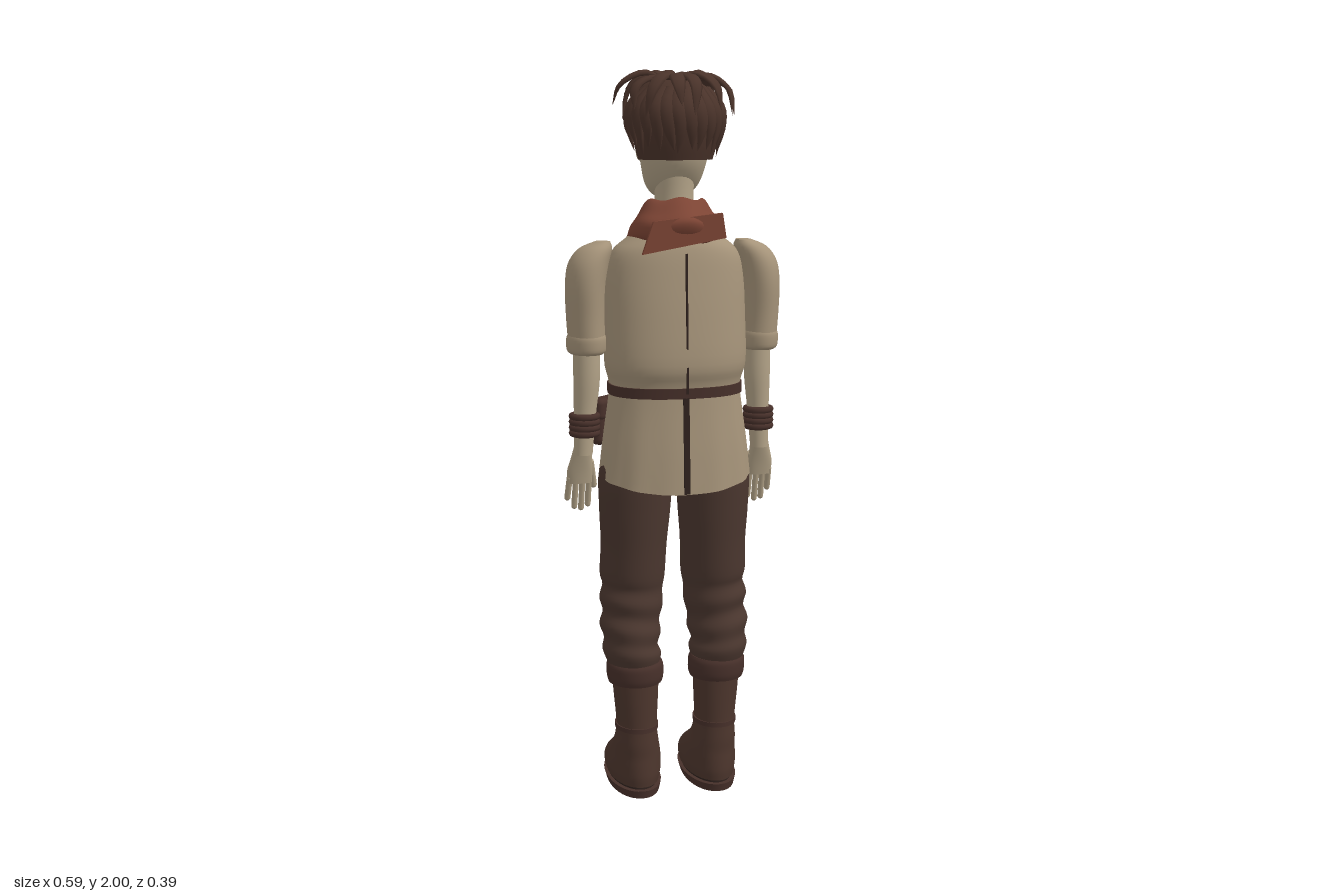
import * as THREE from 'three';
import { RoundedBoxGeometry } from 'three/addons/geometries/RoundedBoxGeometry.js';

const V = (x, y, z) => new THREE.Vector3(x, y, z);
const mat = (name, color, side = THREE.FrontSide) => {
  const m = new THREE.MeshStandardMaterial({ color, side });
  m.name = name;
  return m;
};

// Skin closed rings of points into one smooth surface with flat end caps
function skin(rings, caps = true) {
  const n = rings[0].length, pos = [], idx = [];
  const add = (ring) => ring.forEach((p) => pos.push(p.x, p.y, p.z));
  const link = (r) => {
    for (let i = 0; i < n; i++) {
      const a = r * n + i, b = r * n + (i + 1) % n;
      idx.push(a, a + n, b, b, a + n, b + n);
    }
  };
  rings.forEach(add);
  for (let r = 0; r < rings.length - 1; r++) link(r);
  if (caps) {
    const centre = (ring) => {
      const c = ring.reduce((s, p) => s.add(p), V(0, 0, 0)).divideScalar(n);
      return ring.map(() => c);
    };
    const first = rings[0], last = rings[rings.length - 1];
    [[centre(first), first], [last, centre(last)]].forEach(([a, b]) => {
      const r = pos.length / 3 / n;
      add(a); add(b); link(r);
    });
  }
  const g = new THREE.BufferGeometry();
  g.setAttribute('position', new THREE.Float32BufferAttribute(pos, 3));
  g.setIndex(idx);
  g.computeVertexNormals();
  return g;
}

// Smooth loft through horizontal sections [y, centre x, centre z, radius x, radius z]
function loft(secs, { n = 2, sides = 32, steps = 4, caps = true, warp = null } = {}) {
  const rings = [], at = (i) => secs[Math.min(Math.max(i, 0), secs.length - 1)];
  const total = (secs.length - 1) * steps;
  for (let k = 0; k <= total; k++) {
    const i = Math.min(Math.floor(k / steps), secs.length - 2), t = k / steps - i;
    const s = at(i).map((p1, j) => {
      const p0 = at(i - 1)[j], p2 = at(i + 1)[j], p3 = at(i + 2)[j];
      const m1 = (p2 - p0) / 2, m2 = (p3 - p1) / 2;
      return p1 + m1 * t + (3 * (p2 - p1) - 2 * m1 - m2) * t * t + (2 * (p1 - p2) + m1 + m2) * t * t * t;
    });
    rings.push(Array.from({ length: sides }, (_, j) => {
      const a = j / sides * Math.PI * 2, c = Math.cos(a), q = Math.sin(a);
      const p = V(s[1] + s[3] * Math.sign(c) * Math.abs(c) ** (2 / n), s[0],
        s[2] + s[4] * Math.sign(q) * Math.abs(q) ** (2 / n));
      if (warp) warp(p, a, k / total);
      return p;
    }));
  }
  return skin(rings, caps);
}

// Flat tapered strand along a curve; out is the direction its broad face looks
function strand(points, out, width, thick) {
  const curve = new THREE.CatmullRomCurve3(points), rings = [];
  for (let k = 0; k <= 10; k++) {
    const t = k / 10, tan = curve.getTangent(t), p = curve.getPoint(t);
    const side = tan.clone().cross(out).normalize(), up = side.clone().cross(tan);
    const w = Math.max(0.03, Math.sin(Math.PI * (0.2 + 0.8 * t)) ** 0.8);
    rings.push(Array.from({ length: 8 }, (_, j) => {
      const a = j / 8 * Math.PI * 2;
      return p.clone().addScaledVector(side, Math.cos(a) * width * w).addScaledVector(up, Math.sin(a) * thick * w);
    }));
  }
  return skin(rings);
}

export function createModel() {
  const model = new THREE.Group();
  const shirt = mat('shirt linen', 0xa6947a, THREE.DoubleSide), skinTone = mat('skin', 0xb3a388);
  const trousers = mat('trouser brown', 0x4b372f), boots = mat('boot leather', 0x4d362d);
  const hair = mat('hair brown', 0x4a332a), scarf = mat('scarf red', 0x7c4434, THREE.DoubleSide);
  const leather = mat('belt leather', 0x47302a), dark = mat('dark trim', 0x2e211d);
  const metal = mat('buckle metal', 0x8a7a62);
  const add = (name, geo, m, x = 0, y = 0, z = 0) => {
    const mesh = new THREE.Mesh(geo, m);
    mesh.name = name;
    mesh.position.set(x, y, z);
    model.add(mesh);
    return mesh;
  };
  const box = (name, w, h, d, m, x, y, z) => add(name, new THREE.BoxGeometry(w, h, d), m, x, y, z);

  // Tunic body, skirt with curved hem, belt
  add('tunicBody', loft([[1.15, 0, .03, .177, .13], [1.18, 0, .03, .182, .137], [1.23, 0, .035, .193, .145],
    [1.35, 0, .03, .192, .14], [1.45, 0, .027, .188, .13], [1.52, 0, .03, .172, .115],
    [1.56, 0, .035, .13, .095], [1.61, 0, .035, .07, .06]], { n: 2.3, sides: 48 }), shirt);
  add('tunicSkirt', loft([[.895, 0, .03, .208, .145], [1, 0, .03, .197, .14], [1.1, 0, .03, .184, .133],
    [1.16, 0, .03, .177, .13]], { n: 2.3, sides: 64, caps: false, warp: (p, a, t) => {
    p.y += Math.cos(2 * a) * .015 * (1 - t);
    const f = 1 + .012 * Math.sin(a * 12) * (1 - t);
    p.x *= f;
    p.z = .03 + (p.z - .03) * f;
  } }), shirt);
  add('belt', loft([[1.14, 0, .03, .184, .137], [1.168, 0, .03, .184, .139]], { n: 2.3, sides: 48 }), leather);
  [1, -1].forEach((s) => {
    const slit = box('skirtSlit', .016, .265, .006, dark, 0, 1.015, .03 + s * .141);
    slit.rotation.x = -s * .055;
  });
  box('backSeam', .005, .37, .006, dark, 0, 1.34, .172).rotation.x = -.04;

  // Belt fittings on the face side
  box('buckle', .04, .036, .008, metal, 0, 1.154, -.111);
  box('beltTail', .022, .14, .008, leather, .025, 1.08, -.113).rotation.z = .05;
  [.105, .065, -.055].forEach((x) => {
    add('beltVial', new THREE.CylinderGeometry(.008, .008, .075, 10), leather, x, 1.155, -.112 + x * x * 1.5);
  });
  const pouch = new THREE.Group();
  pouch.name = 'pouch';
  pouch.position.set(-.175, 1.045, -.075);
  pouch.rotation.y = Math.PI + .75;
  pouch.add(new THREE.Mesh(new RoundedBoxGeometry(.095, .125, .045, 3, .018), leather),
    new THREE.Mesh(new RoundedBoxGeometry(.1, .06, .052, 3, .015), leather),
    new THREE.Mesh(new THREE.BoxGeometry(.02, .025, .006), metal));
  pouch.children[1].position.y = .038;
  pouch.children[2].position.set(0, .01, .026);
  pouch.children.forEach((c, i) => { c.name = ['pouchBag', 'pouchFlap', 'pouchClasp'][i]; });
  model.add(pouch);

  // Chest lacing
  for (let i = 0; i < 3; i++) [1, -1].forEach((s) => {
    box('lacing', .035, .005, .006, dark, 0, 1.45 + i * .022, -.105 + i * .004).rotation.z = s * .6;
  });

  // Scarf, lower towards the face side, with a back flap and hanging tail
  add('scarf', loft([[1.54, 0, .03, .1, .12], [1.555, 0, .03, .125, .145], [1.59, 0, .032, .12, .152],
    [1.62, 0, .03, .1, .115], [1.65, 0, .03, .083, .08], [1.655, 0, .03, .07, .065], [1.63, 0, .03, .058, .055]],
  { sides: 48, warp: (p, a) => { p.y += (p.z - .03) * .12 + Math.sin(a * 5) * .004; } }), scarf);
  const flap = new THREE.Shape([[-.12, 1.525], [.105, 1.565], [.095, 1.63], [-.09, 1.61]].map((p) => new THREE.Vector2(...p)));
  add('scarfFlap', new THREE.ExtrudeGeometry(flap, { depth: .012, bevelEnabled: false }), scarf, 0, 0, .163);
  add('scarfTail', strand([V(-.05, 1.58, -.1), V(-.07, 1.53, -.12), V(-.075, 1.46, -.115)], V(0, 0, -1), .035, .012), scarf);

  // Neck, head and face
  add('neck', loft([[1.56, 0, .03, .06, .06], [1.65, 0, .025, .052, .054], [1.74, 0, .025, .055, .058]]), skinTone);
  add('head', loft([[1.662, 0, -.025, .028, .028], [1.672, 0, -.018, .05, .045], [1.7, 0, -.002, .073, .066],
    [1.75, 0, .015, .087, .085], [1.81, 0, .022, .096, .095], [1.88, 0, .027, .1, .1], [1.94, 0, .027, .08, .082],
    [1.97, 0, .027, .03, .03]], { sides: 40 }), skinTone);
  const nose = add('nose', new THREE.ConeGeometry(.014, .045, 12), skinTone, 0, 1.773, -.075);
  nose.rotation.x = -.2;
  box('mouth', .032, .004, .006, leather, 0, 1.718, -.067);
  [1, -1].forEach((s) => {
    box('eye', .024, .011, .006, dark, s * .036, 1.8, -.068).rotation.y = s * .35;
    box('eyebrow', .034, .006, .008, hair, s * .037, 1.822, -.069).rotation.set(0, s * .35, s * .1);
    add('ear', new THREE.SphereGeometry(.02, 14, 10), skinTone, s * .095, 1.79, .03).scale.set(.5, 1.4, 1);
  });

  // Hair cap: hairline is high over the face and low at the nape
  add('hairCap', loft([[1.765, 0, .035, .1, .098], [1.81, 0, .035, .112, .11], [1.87, 0, .035, .117, .117],
    [1.93, 0, .035, .1, .1], [1.97, 0, .035, .06, .06], [1.982, 0, .035, .012, .012]], { sides: 40, warp: (p, a, t) => {
    const face = Math.max(0, -Math.sin(a)) ** .7;
    p.y += face * .085 * (1 - t) ** 1.2;
  } }), hair);

  // Loose locks: an outer fringe, then arching tufts over the crown
  let seed = 7;
  const rnd = () => (seed = (seed * 16807) % 2147483647) / 2147483647;
  const polar = (a, r, y) => V(Math.cos(a) * r, y, .035 + Math.sin(a) * r);
  for (let i = 0; i < 26; i++) {
    const a = i / 26 * Math.PI * 2, out = V(Math.cos(a), 0, Math.sin(a)), face = Math.max(0, -Math.sin(a));
    const tip = 1.772 + face * .045 + rnd() * .025;
    add('sideLock', strand([polar(a, .085, 1.95), polar(a + .05, .122, 1.9), polar(a, .126, 1.85),
      polar(a + (rnd() - .5) * .25, .11 + face * .005, tip)], out, .021, .011), hair);
  }
  for (let i = 0; i < 15; i++) {
    const a = i / 15 * Math.PI * 2 + rnd() * .2, bend = (rnd() - .5) * .7, out = V(Math.cos(a) * .5, 1, Math.sin(a) * .5);
    const r = .148 + rnd() * .02 - Math.max(0, -Math.sin(a)) * .025;
    add('crownLock', strand([polar(a, .03, 1.965), polar(a + bend * .3, .085, 1.972 + rnd() * .02),
      polar(a + bend * .6, r * .9, 1.94 + rnd() * .02), polar(a + bend, r, 1.87 + rnd() * .04)], out, .021, .008), hair);
  }

  // Seat of the trousers joining both legs
  add('trouserSeat', loft([[.87, 0, .025, .12, .08], [.92, 0, .025, .17, .105], [1.08, 0, .03, .165, .115]]), trousers);

  [1, -1].forEach((s) => {
    const limb = (name, secs, m, opt) => add(name, loft(secs.map(([y, x, ...r]) => [y, x * s, ...r]), opt), m);

    // Sleeve, cuff, forearm, wristband
    limb('sleeve', [[1.29, .24, .015, .05, .068], [1.35, .243, .015, .051, .071], [1.43, .243, .016, .053, .076],
      [1.49, .234, .016, .054, .072], [1.53, .215, .018, .045, .055], [1.55, .195, .02, .02, .03]], shirt);
    limb('sleeveCuff', [[1.25, .24, .013, .044, .06], [1.26, .24, .013, .053, .069], [1.29, .24, .014, .054, .071],
      [1.305, .24, .015, .048, .066]], shirt);
    limb('forearm', [[.97, .25, .005, .025, .025], [1.08, .245, .006, .03, .031], [1.18, .24, .01, .036, .037],
      [1.28, .24, .012, .036, .038]], skinTone);
    for (let i = 0; i < 4; i++) {
      add('wristband', new THREE.TorusGeometry(.034, .0095, 8, 28), leather, s * .246, 1.03 + i * .0155, .005).rotation.x = Math.PI / 2;
    }

    // Hand with four fingers and a thumb
    limb('palm', [[.885, .257, -.02, .032, .013], [.92, .257, -.014, .036, .016], [.96, .254, -.004, .029, .018],
      [1, .25, .004, .023, .022]], skinTone);
    const digit = (name, a, b, r) => {
      const d = b.clone().sub(a);
      const f = add(name, new THREE.CapsuleGeometry(r, d.length(), 4, 10), skinTone);
      f.position.copy(a).add(b).multiplyScalar(.5);
      f.quaternion.setFromUnitVectors(V(0, 1, 0), d.normalize());
    };
    [.82, .81, .815, .84].forEach((y, i) => {
      digit('finger', V(s * (.231 + i * .018), .9, -.018), V(s * (.231 + i * .019), y, -.042), .0085);
    });
    digit('thumb', V(s * .228, .945, -.012), V(s * .215, .875, -.04), .01);

    // Baggy trouser leg with folds below the knee
    limb('trouserLeg', [[.37, .12, .043, .068, .075], [.41, .124, .035, .081, .098], [.44, .126, .03, .074, .094],
      [.475, .126, .022, .085, .102], [.51, .122, .015, .078, .094], [.55, .121, .013, .088, .102],
      [.59, .116, .007, .083, .099], [.63, .116, .006, .09, .108], [.72, .113, .015, .091, .106],
      [.82, .111, .022, .098, .108], [.93, .108, .025, .1, .112], [1.02, .1, .03, .07, .09]], trousers,
    { sides: 36, warp: (p, a, t) => { if (t < .65) p.y += Math.sin(a + s) * .016 * Math.sin(t / .65 * Math.PI); } });

    // Boot, turned cuff, ankle band and sole
    limb('boot', [[.03, .11, -.035, .07, .148], [.055, .11, -.034, .075, .15], [.085, .11, -.018, .073, .133],
      [.115, .11, .008, .068, .105], [.15, .112, .034, .061, .08], [.2, .113, .043, .056, .07],
      [.28, .115, .045, .061, .07], [.36, .117, .045, .066, .072]], boots, { n: 2.1, sides: 36 });
    limb('bootCuff', [[.328, .117, .045, .075, .08], [.345, .117, .045, .079, .085], [.375, .118, .045, .079, .085],
      [.388, .118, .045, .073, .079]], leather);
    limb('ankleBand', [[.19, .113, .043, .06, .074], [.203, .113, .043, .06, .074]], leather, { steps: 1 });
    limb('sole', [[0, .11, -.028, .07, .145], [.022, .11, -.033, .076, .154]], leather, { steps: 1, n: 2.1 });
    limb('welt', [[.02, .11, -.033, .066, .14], [.033, .11, -.034, .066, .14]], dark, { steps: 1 });
    box('cuffBuckle', .038, .026, .008, metal, s * .125, .36, -.041);
    box('cuffStrap', .026, .014, .006, leather, s * .125, .36, -.0445);
  });
  return model;
}
